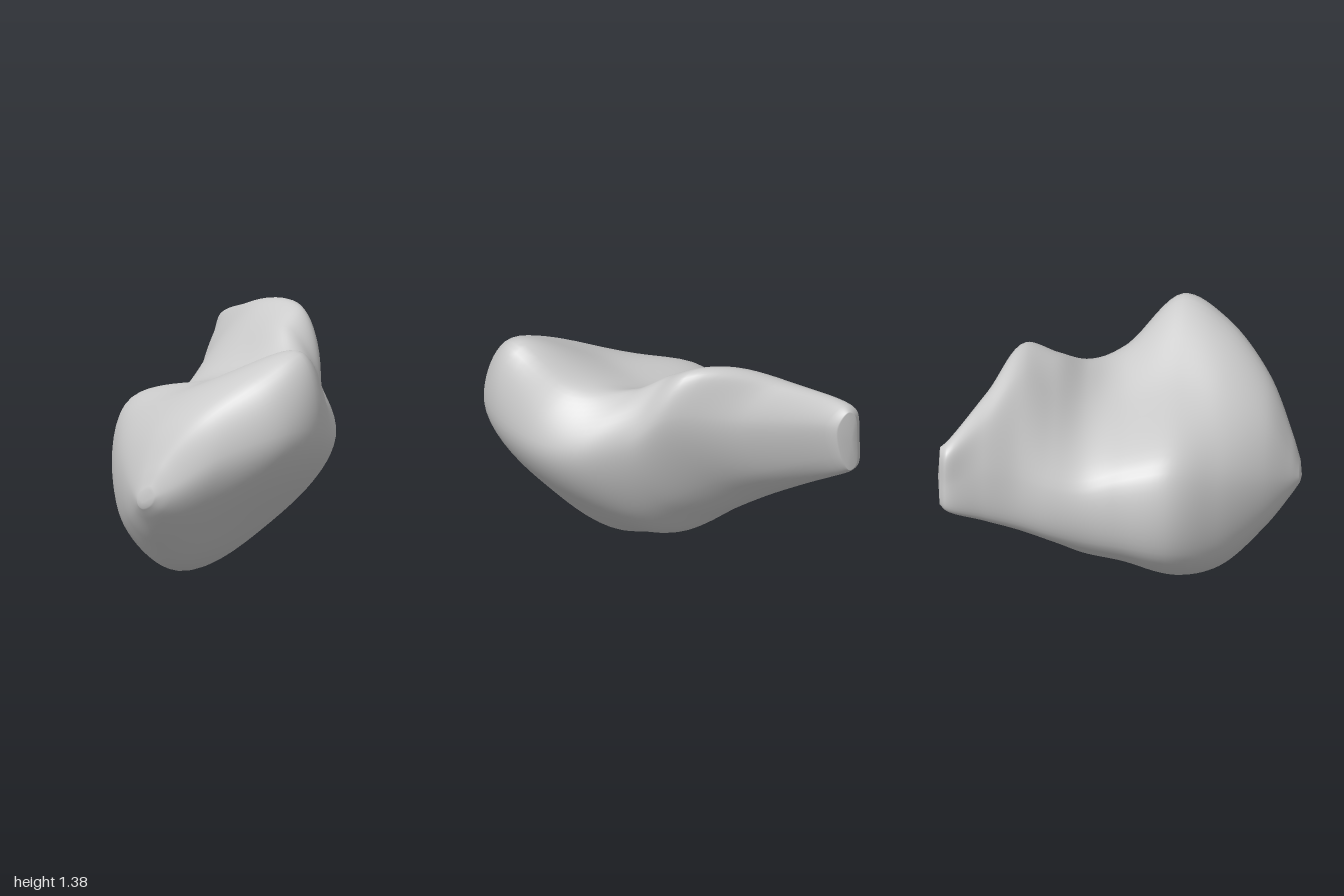
import * as THREE from 'three';

// Cross-sections from front to back: z, then seven points clockwise from the
// top ridge: ridge, right flank, lower right, keel, lower left, shoulder, top.
const SECTIONS = [
  [0.94, 0.2, 0.74, 0.27, 0.61, 0.21, 0.48, 0.08, 0.41, 0.01, 0.45, -0.01, 0.55, 0.07, 0.68],
  [0.8, 0.4, 1.0, 0.5, 0.77, 0.31, 0.43, 0.04, 0.24, -0.15, 0.36, -0.17, 0.64, 0.07, 0.91],
  [0.55, 0.63, 1.22, 0.76, 0.88, 0.44, 0.4, -0.02, 0.03, -0.38, 0.27, -0.39, 0.76, 0.05, 1.06],
  [0.3, 0.7, 1.33, 0.81, 0.86, 0.5, 0.4, -0.05, 0, -0.55, 0.32, -0.53, 0.87, 0.1, 1.1],
  [0, 0.5, 1.11, 0.7, 0.8, 0.42, 0.38, -0.06, 0.11, -0.57, 0.38, -0.55, 0.82, 0, 1.03],
  [-0.2, 0.25, 1.14, 0.56, 0.82, 0.3, 0.39, -0.13, 0.18, -0.58, 0.42, -0.58, 0.78, -0.1, 1.05],
  [-0.37, 0.1, 1.27, 0.35, 0.9, 0.13, 0.49, -0.25, 0.33, -0.61, 0.48, -0.61, 0.81, -0.2, 1.16],
  [-0.55, 0.07, 1.35, 0.18, 1.08, -0.07, 0.64, -0.4, 0.47, -0.66, 0.57, -0.64, 0.89, -0.26, 1.31],
  [-0.75, -0.37, 1.26, -0.17, 1.07, -0.3, 0.74, -0.56, 0.6, -0.73, 0.66, -0.73, 0.96, -0.58, 1.2],
  [-0.95, -0.71, 1.14, -0.59, 1.04, -0.63, 0.83, -0.72, 0.72, -0.8, 0.75, -0.81, 0.93, -0.79, 1.1],
];
const FRONT_TIP = new THREE.Vector3(0.1, 0.52, 1);
const REAR_TIP = new THREE.Vector3(-0.73, 0.93, -1);
const AROUND = 70;
const ALONG = 88;

// Smooth closed ring through the points of one section
function ring([z, ...xy]) {
  const points = [];
  for (let k = 0; k < xy.length; k += 2) points.push(new THREE.Vector3(xy[k], xy[k + 1], z));
  return new THREE.CatmullRomCurve3(points, true).getPoints(AROUND).slice(0, AROUND);
}

// End ring shrunk about a tip point, which rounds the body off
function shrink(points, centre, z, sx, sy) {
  return points.map((p) => new THREE.Vector3(
    centre.x + (p.x - centre.x) * sx, centre.y + (p.y - centre.y) * sy, z));
}

function loftGeometry() {
  const rings = SECTIONS.map(ring);
  rings.unshift(shrink(rings[0], FRONT_TIP, 0.99, 0.4, 0.35));
  rings.push(shrink(rings[rings.length - 1], REAR_TIP, -0.99, 0.55, 0.85));
  const rails = rings[0].map((_, j) => new THREE.CatmullRomCurve3(rings.map((r) => r[j])));
  const position = [];
  const index = [];

  // Skin
  for (let i = 0; i <= ALONG; i++) {
    for (const rail of rails) position.push(...rail.getPoint(i / ALONG).toArray());
  }
  for (let i = 0; i < ALONG; i++) {
    for (let j = 0; j < AROUND; j++) {
      const a = i * AROUND + j;
      const b = i * AROUND + ((j + 1) % AROUND);
      index.push(a, b, a + AROUND, b, b + AROUND, a + AROUND);
    }
  }

  // Slightly domed end caps
  const cap = (row, centre, front) => {
    const c = position.length / 3;
    position.push(...centre.toArray());
    for (let j = 0; j < AROUND; j++) {
      const a = row * AROUND + j;
      const b = row * AROUND + ((j + 1) % AROUND);
      if (front) index.push(c, b, a);
      else index.push(c, a, b);
    }
  };
  cap(0, FRONT_TIP, true);
  cap(ALONG, REAR_TIP, false);

  const geometry = new THREE.BufferGeometry();
  geometry.setAttribute('position', new THREE.Float32BufferAttribute(position, 3));
  geometry.setIndex(index);
  geometry.computeVertexNormals();
  return geometry;
}

export function createModel() {
  const group = new THREE.Group();
  group.name = 'boneModel';
  // One continuous smooth body: broad front lobe, saddle and tapering rear lobe
  const body = new THREE.Mesh(loftGeometry(), new THREE.MeshStandardMaterial({ color: 0xcccccc }));
  body.name = 'boneBody';
  group.add(body);
  return group;
}
